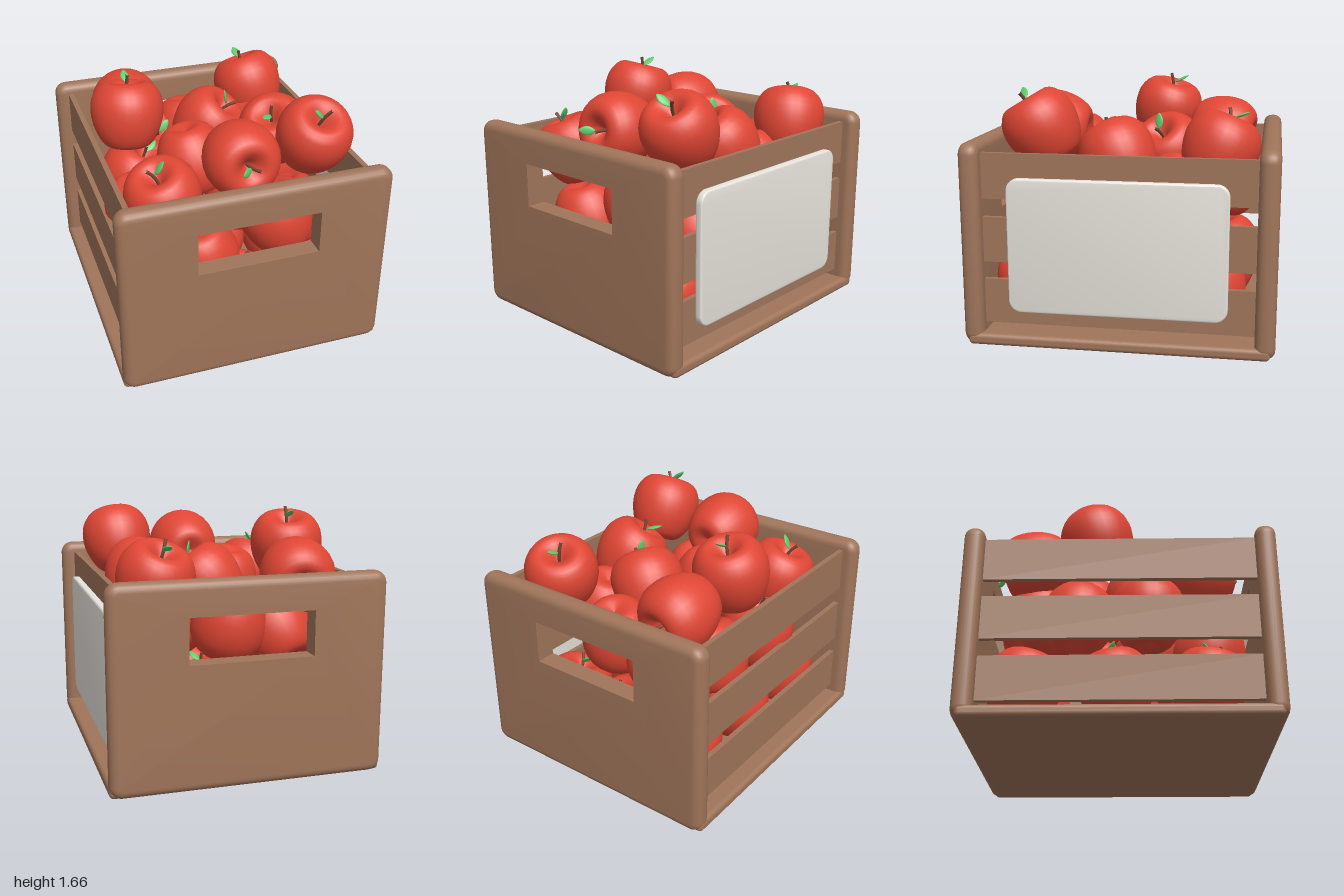
import * as THREE from 'three';
import { toCreasedNormals } from 'three/addons/utils/BufferGeometryUtils.js';
import { RoundedBoxGeometry } from 'three/addons/geometries/RoundedBoxGeometry.js';

const material = (color) => new THREE.MeshStandardMaterial({ color });
const wood = material(0xa0755a);
const red = material(0xdf4634);
const brown = material(0x7d4a36);
const green = material(0x5fcb6c);
const white = material(0xe8e4dd);

function add(parent, name, geometry, mat, x = 0, y = 0, z = 0) {
  const mesh = new THREE.Mesh(geometry, mat);
  mesh.name = name;
  mesh.position.set(x, y, z);
  parent.add(mesh);
  return mesh;
}

// Rounded rectangle outline centred on x = 0
function roundedRect(halfW, y0, y1, r) {
  const s = new THREE.Shape();
  s.absarc(halfW - r, y0 + r, r, -Math.PI / 2, 0);
  s.absarc(halfW - r, y1 - r, r, 0, Math.PI / 2);
  s.absarc(-halfW + r, y1 - r, r, Math.PI / 2, Math.PI);
  s.absarc(-halfW + r, y0 + r, r, Math.PI, Math.PI * 1.5);
  s.closePath();
  return s;
}

// Soft-edged end wall with a sharp-edged handle opening
function endPanelGeometry() {
  const b = 0.055;
  const shape = roundedRect(0.89 - b, b, 1.32 - b, 0.025);
  shape.holes.push(new THREE.Path([
    [-0.4, 0.81], [-0.4, 1.1], [0.4, 1.1], [0.4, 0.81],
  ].map(([x, y]) => new THREE.Vector2(x, y))));
  const g = new THREE.ExtrudeGeometry(shape, {
    depth: 0.13 - 2 * b, bevelSize: b, bevelThickness: b, bevelSegments: 5, curveSegments: 5,
  });
  // Undo the bevel around the opening
  const p = g.attributes.position;
  for (let i = 0; i < p.count; i++) {
    const x = p.getX(i), y = p.getY(i);
    if (Math.abs(x) < 0.5 && y > 0.7 && y < 1.2) {
      p.setX(i, Math.sign(x) * 0.4);
      p.setY(i, y < 0.95 ? 0.81 : 1.1);
    }
  }
  g.translate(0, 0, 0.87 + b);
  return toCreasedNormals(g, 0.6);
}

// Apple body: wide shoulders, narrower base, a dimple at each end
function appleGeometry() {
  const profile = new THREE.SplineCurve([
    [0, -0.185], [0.05, -0.205], [0.11, -0.222], [0.17, -0.185], [0.222, -0.09], [0.246, 0.02],
    [0.235, 0.12], [0.185, 0.2], [0.12, 0.222], [0.06, 0.185], [0.02, 0.14], [0, 0.13],
  ].map(([x, y]) => new THREE.Vector2(x, y))).getPoints(26);
  profile.forEach((v) => { v.x = Math.max(0, v.x); });
  return new THREE.LatheGeometry(profile, 28);
}

function stemGeometry() {
  const curve = new THREE.QuadraticBezierCurve3(
    new THREE.Vector3(0, 0.12, 0), new THREE.Vector3(0, 0.21, 0), new THREE.Vector3(-0.045, 0.275, 0));
  return new THREE.TubeGeometry(curve, 6, 0.011, 7);
}

// Leaf: flattened ball drawn to a point at its ends
function leafGeometry() {
  const g = new THREE.SphereGeometry(1, 14, 10);
  const p = g.attributes.position;
  for (let i = 0; i < p.count; i++) {
    const x = p.getX(i);
    p.setXYZ(i, x * 0.056, p.getY(i) * 0.009, p.getZ(i) * 0.03 * (1 - 0.45 * x * x));
  }
  g.computeVertexNormals();
  g.rotateZ(0.75);
  g.translate(0.04, 0.255, 0);
  return g;
}

// Position, direction of the stem, turn about it
const upperApples = [
  [-0.44, 1.26, -0.57, 0.15, -0.25, -1, 1.6],
  [0.52, 1.26, -0.61, -0.25, 1, -0.4, 1.57],
  [0.53, 1.375, 0.53, 0.05, 0.85, 0.5, 3.14],
  [0.02, 1.325, 0.55, 0, 0.1, 1, 3.14],
  [-0.53, 1.38, -0.15, 0.08, 1, -0.28, 1.57],
  [0.07, 1.17, -0.25, 0.55, 0.75, 0.3, 2.8],
  [0.47, 1.19, 0.04, -0.35, 0.8, 0.45, 3.9],
  [-0.16, 1.13, 0.12, 0.2, -1, 0.2, 0],
  [-0.47, 1.1, 0.52, -0.3, 0.9, 0.2, 0],
];
const middleApples = [
  [-0.54, 0.82, 0.18, 0, 1, 0.05, 0],
  [0.03, 0.98, -0.62, 0.1, -1, 0.3, 0],
  [-0.3, 0.9, -0.58, 0.3, 0.7, 0.6, 1],
  [0.5, 0.84, -0.13, 0.1, 1, -0.3, 1.2],
  [0.4, 0.98, -0.35, 0.3, -1, 0, 0],
  [0.17, 0.82, 0.2, -0.2, 1, -0.3, 2],
  [0.27, 0.87, 0.61, -0.3, 1, -0.2, 0.5],
  [0.49, 0.74, 0.35, 0.2, -1, 0.3, 0],
  [-0.25, 0.69, 0.6, 0.2, -1, -0.2, 0],
  [-0.48, 0.82, -0.28, 0.5, 1, 0.1, 0.8],
];

export function createModel() {
  const model = new THREE.Group();
  model.name = 'appleCrate';

  // Crate: floor, two end walls, three slats per side
  const crate = new THREE.Group();
  crate.name = 'crate';
  model.add(crate);
  add(crate, 'floor', new RoundedBoxGeometry(1.78, 0.08, 1.94, 4, 0.03), wood, 0, 0.04, 0);
  const panel = endPanelGeometry();
  add(crate, 'frontPanel', panel, wood);
  add(crate, 'backPanel', panel, wood).rotation.y = Math.PI;
  const slat = new THREE.BoxGeometry(0.035, 0.295, 1.76);
  for (const side of [-1, 1]) {
    for (const y of [0.28, 0.69, 1.105]) {
      add(crate, side > 0 ? 'leftSlat' : 'rightSlat', slat, wood, side * 0.785, y, 0);
    }
  }

  // Blank plate on the slats of one side
  const plate = new THREE.ExtrudeGeometry(roundedRect(0.69, 0.235, 1.09, 0.07), {
    depth: 0.03, bevelSize: 0.01, bevelThickness: 0.01, bevelSegments: 3, curveSegments: 6,
  });
  plate.rotateY(Math.PI / 2);
  add(model, 'blankPlate', toCreasedNormals(plate, 0.6), white, 0.81, 0, 0);

  // Apples in three layers
  const body = appleGeometry(), stem = stemGeometry(), leaf = leafGeometry();
  const up = new THREE.Vector3(0, 1, 0);
  const apples = new THREE.Group();
  apples.name = 'apples';
  model.add(apples);
  function addApple([x, y, z, ax, ay, az, spin]) {
    const apple = new THREE.Group();
    apple.name = 'apple';
    apple.position.set(x, y, z);
    apple.quaternion.setFromUnitVectors(up, new THREE.Vector3(ax, ay, az).normalize());
    apple.rotateY(spin);
    add(apple, 'appleBody', body, red);
    add(apple, 'stem', stem, brown);
    add(apple, 'leaf', leaf, green);
    apples.add(apple);
  }
  upperApples.forEach(addApple);
  middleApples.forEach(addApple);
  for (let i = 0; i < 9; i++) {
    const col = (i % 3) - 1, row = Math.floor(i / 3) - 1;
    addApple([col * 0.5, 0.335, row * 0.59 + col * 0.03, 0.2 * Math.sin(i * 2), 1, 0.25 * Math.cos(i * 3), i * 1.3]);
  }
  return model;
}
